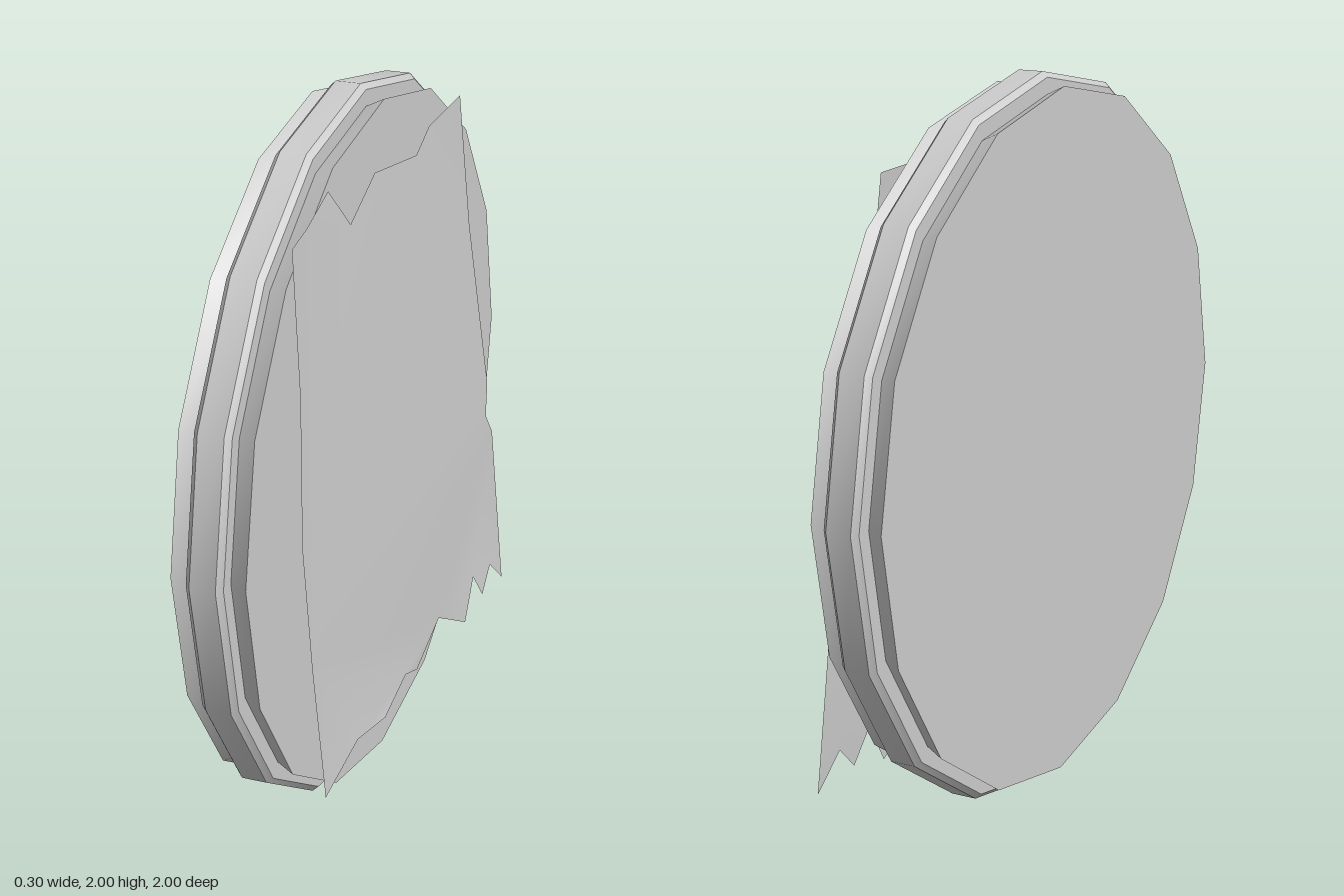
import * as THREE from 'three';
import { toCreasedNormals } from 'three/addons/utils/BufferGeometryUtils.js';

const material = new THREE.MeshStandardMaterial({ color: 0xcccccc });
const sheetMaterial = new THREE.MeshStandardMaterial({ color: 0xcccccc, side: THREE.DoubleSide });

// Sixteen-sided disc with a raised band between two undercut flanges; axis along x
function createDisc() {
  const half = [[0.985, 0.05], [0.94, 0.05], [0.965, 0.1], [0, 0.1]];
  const profile = [
    ...half.map(([r, h]) => [r, -h]).reverse(),
    [1, -0.035], [1, 0.035],
    ...half,
  ].map(([r, h]) => new THREE.Vector2(r, h));
  const geometry = toCreasedNormals(new THREE.LatheGeometry(profile, 16), 0.5);
  geometry.rotateZ(-Math.PI / 2).translate(-0.055, 1, 0);
  const disc = new THREE.Mesh(geometry, material);
  disc.name = 'disc';
  return disc;
}

// Torn sheet leaning away from the disc towards its lower edge
function createSheet() {
  const outline = [ // [z, y]
    [0.68, 1.785], [0.57, 1.8], [0.41, 1.845], [0.28, 1.715], [0.11, 1.8], [-0.18, 1.76],
    [-0.29, 1.81], [-0.59, 1.81], [-0.635, 1.41], [-0.74, 0.88], [-0.715, 0.78], [-0.765, 0.71],
    [-0.8, 0.2], [-0.7, 0.29], [-0.63, 0.22], [-0.565, 0.31], [-0.495, 0.19], [-0.3, 0.3],
    [-0.105, 0.23], [0.01, 0.275], [0.23, 0.26], [0.45, 0.315], [0.665, 0.255],
    [0.7, 0.65], [0.72, 1.01], [0.68, 1.4],
  ];
  const shape = new THREE.Shape(outline.map(([z, y]) => new THREE.Vector2(-z, y)));
  const geometry = new THREE.ShapeGeometry(shape).rotateY(Math.PI / 2);

  // Tilt plus a gentle ripple that reverses from top to bottom
  const p = geometry.attributes.position;
  for (let i = 0; i < p.count; i++) {
    const t = (1.82 - p.getY(i)) / 1.62;
    const wave = Math.cos((p.getZ(i) + 0.8) * 2 * Math.PI / 1.2);
    p.setX(i, 0.06 + 0.07 * t + (0.028 * t - 0.01) * wave);
  }
  geometry.computeVertexNormals();
  const sheet = new THREE.Mesh(geometry, sheetMaterial);
  sheet.name = 'tornSheet';
  return sheet;
}

export function createModel() {
  const model = new THREE.Group();
  model.name = 'discWithTornSheet';
  model.add(createDisc(), createSheet());
  return model;
}
